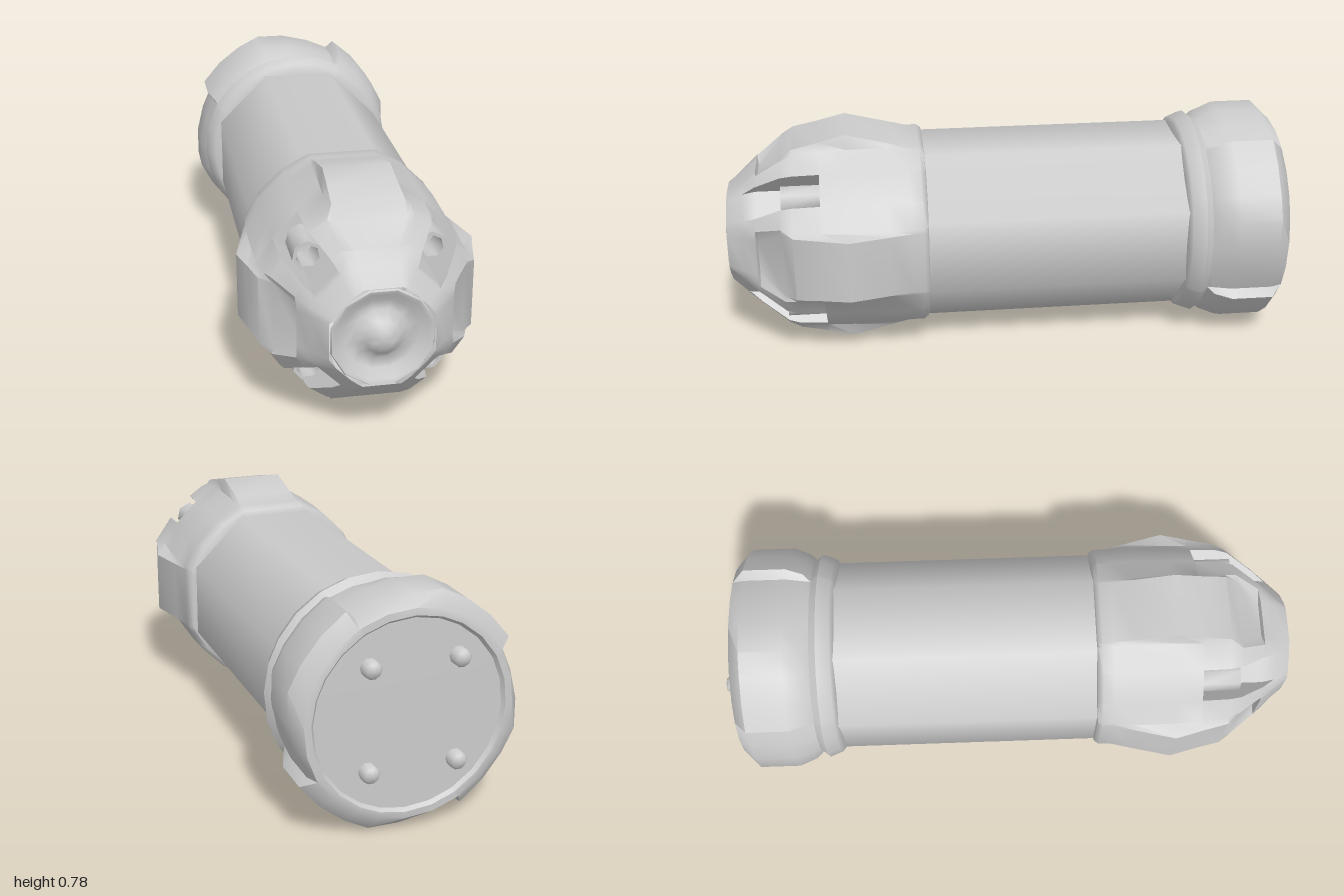
import * as THREE from 'three';
import { toCreasedNormals } from 'three/addons/utils/BufferGeometryUtils.js';

const CY = 0.39; // height of the long axis
const mat = new THREE.MeshStandardMaterial({ color: 0xcccccc, side: THREE.DoubleSide });

// Skin between closed rings of [x, y, z] points, ordered from back to front
function loft(rings, crease) {
  const n = rings[0].length, index = [];
  for (let i = 0; i < rings.length - 1; i++) {
    for (let j = 0; j < n; j++) {
      const k = (j + 1) % n, a = i * n, b = a + n;
      index.push(a + j, a + k, b + k, a + j, b + k, b + j);
    }
  }
  const geo = new THREE.BufferGeometry();
  geo.setAttribute('position', new THREE.Float32BufferAttribute(rings.flat(2), 3));
  geo.setIndex(index);
  return toCreasedNormals(geo, crease);
}

// Turned part along z; dir = -1 points it to the back
function turned(profile, sides, crease, dir = 1) {
  const pts = profile.map(([r, h]) => new THREE.Vector2(r, h));
  const geo = new THREE.LatheGeometry(pts, sides, Math.PI / sides);
  geo.rotateX(dir * Math.PI / 2);
  return toCreasedNormals(geo, crease);
}

// Head outline: four axis pads, with a notch cut in each diagonal
function headRing([z, R, w, Rc, wc, rho, floor, half]) {
  const s = Math.SQRT1_2;
  const diag = (r, t) => [(r - t) * s, (r + t) * s];
  const quarter = [
    [R, w], [Rc, wc],
    diag(rho, -half), diag(floor, -half), diag(floor, half), diag(rho, half),
    [wc, Rc], [w, R],
  ];
  const ring = [];
  for (let q = 0; q < 4; q++) {
    for (const p of quarter) {
      let [x, y] = p;
      for (let k = 0; k < q; k++) [x, y] = [-y, x];
      ring.push([x, y, z]);
    }
  }
  return ring;
}

// Tail outline: four raised panels, each stepped at one end and faired at the other
function tailRing([z, r, pad = 0]) {
  const shape = [[17, 1], [30, 0.85], [45, 0.85], [60, 1], [62, 0], [76, 0.1], [92, 0.5]];
  const ring = [];
  for (let q = 0; q < 4; q++) {
    for (const [deg, f] of shape) {
      const a = THREE.MathUtils.degToRad(deg + q * 90), rr = r + pad * f;
      ring.push([Math.cos(a) * rr, Math.sin(a) * rr, z]);
    }
  }
  return ring;
}

export function createModel() {
  const model = new THREE.Group();
  const add = (name, geo, x = 0, y = 0, z = 0) => {
    const mesh = new THREE.Mesh(geo, mat);
    mesh.name = name;
    mesh.position.set(x, CY + y, z);
    model.add(mesh);
  };

  // Eight-sided barrel with flats on the axes
  const barrel = new THREE.CylinderGeometry(0.335, 0.335, 0.94, 8, 1, true, Math.PI / 8);
  barrel.rotateX(Math.PI / 2);
  add('barrel', barrel, 0, 0, -0.16);

  // Head: z, pad radius, pad half width, shoulder radius, shoulder half width,
  // diagonal radius, notch floor, notch half width
  add('head', loft([
    [0.285, 0.295, 0.10, 0.290, 0.115, 0.300, 0.300, 0.058],
    [0.290, 0.325, 0.11, 0.320, 0.122, 0.335, 0.335, 0.058],
    [0.305, 0.337, 0.11, 0.333, 0.122, 0.348, 0.348, 0.058],
    [0.345, 0.337, 0.11, 0.333, 0.122, 0.348, 0.348, 0.058],
    [0.420, 0.356, 0.11, 0.340, 0.122, 0.352, 0.352, 0.058],
    [0.560, 0.390, 0.11, 0.340, 0.122, 0.350, 0.350, 0.058],
    [0.650, 0.367, 0.112, 0.336, 0.124, 0.345, 0.345, 0.058],
    [0.652, 0.366, 0.112, 0.336, 0.124, 0.345, 0.217, 0.058],
    [0.745, 0.345, 0.115, 0.328, 0.130, 0.340, 0.217, 0.058],
    [0.785, 0.305, 0.115, 0.312, 0.135, 0.328, 0.217, 0.058],
    [0.870, 0.225, 0.062, 0.250, 0.105, 0.260, 0.217, 0.058],
    [0.876, 0.246, 0.062, 0.248, 0.102, 0.256, 0.217, 0.058],
    [0.920, 0.211, 0.062, 0.210, 0.090, 0.216, 0.216, 0.050],
    [0.980, 0.165, 0.060, 0.155, 0.075, 0.166, 0.166, 0.030],
  ].map(headRing), 0.75));

  // Dished nose with a small central bump
  add('noseDish', turned([
    [0.166, 0.975], [0.162, 0.982], [0.15, 0.979], [0.12, 0.955], [0.085, 0.95],
    [0.055, 0.98], [0.03, 0.996], [0, 1],
  ], 12, 1.2));

  // Hollow tubes standing in the diagonal notches
  const tube = turned([
    [0.05, 0], [0.05, 0.135], [0.038, 0.135], [0.038, 0.03], [0, 0.025],
  ], 7, 0.95);
  for (const x of [-0.195, 0.195]) {
    for (const y of [-0.195, 0.195]) add('notchTube', tube, x, y, 0.648);
  }

  // Tail cap with a lip around the recessed end plate
  add('tailCap', loft([
    [-0.958, 0.0005], [-0.955, 0.312], [-0.968, 0.322], [-0.967, 0.345],
    [-0.925, 0.362, 0.035], [-0.78, 0.362, 0.035], [-0.72, 0.352, 0.02],
    [-0.695, 0.348], [-0.67, 0.368], [-0.625, 0.35], [-0.615, 0.335], [-0.61, 0.295],
  ].map(tailRing), 0.8));

  // Four rounded pegs on the end plate
  const peg = turned([[0.03, 0], [0.03, 0.03], [0.022, 0.041], [0, 0.045]], 10, 0.9, -1);
  for (const x of [-0.157, 0.135]) {
    for (const y of [-0.167, 0.173]) add('peg', peg, x, y, -0.955);
  }
  return model;
}
